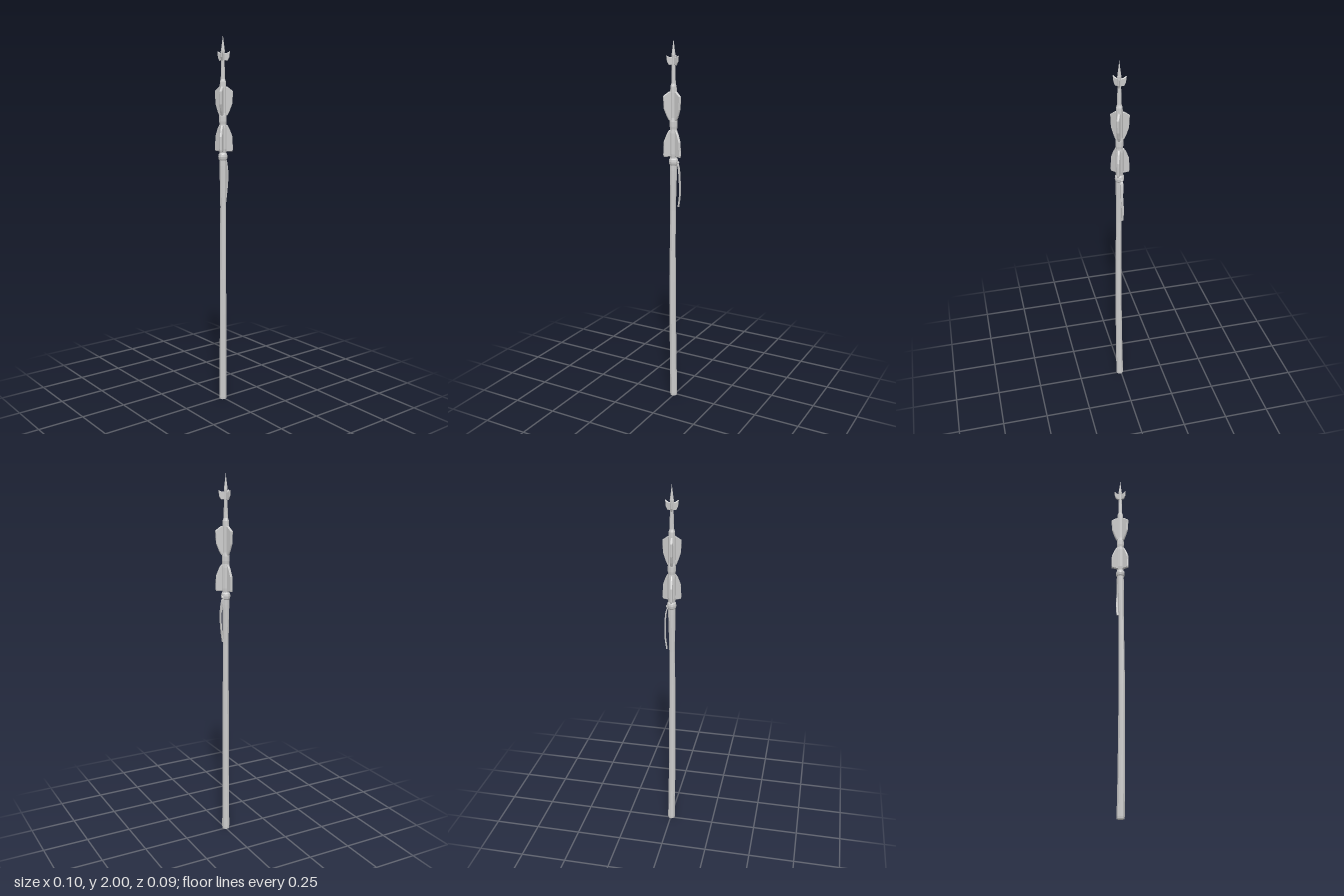
import * as THREE from 'three';

const material = new THREE.MeshStandardMaterial({ color: 0xcccccc, flatShading: true, side: THREE.DoubleSide });
const CX = -0.004, CZ = 0.007; // axis of the spear head

function mesh(name, geometry) {
  const m = new THREE.Mesh(geometry, material);
  m.name = name;
  return m;
}

// Turned part from [radius, y] pairs, listed bottom to top
function turned(name, profile, sides) {
  const m = mesh(name, new THREE.LatheGeometry(profile.map(([r, y]) => new THREE.Vector2(r, y)), sides));
  m.position.set(CX, 0, CZ);
  return m;
}

// Three bevelled blades around the axis from a radial [radius, y] outline
function finRing(name, outline, thickness) {
  const ring = new THREE.Group();
  ring.name = name;
  const bevel = thickness * 0.25;
  const shape = new THREE.Shape(outline.map(([r, y]) => new THREE.Vector2(r, y)));
  const geometry = new THREE.ExtrudeGeometry(shape, {
    depth: thickness - 2 * bevel, bevelThickness: bevel, bevelSize: bevel, bevelOffset: -bevel, bevelSegments: 1,
  });
  geometry.translate(0, 0, -thickness / 2 + bevel);
  for (let i = 0; i < 3; i++) {
    const fin = mesh('fin', geometry);
    fin.rotation.y = -THREE.MathUtils.degToRad(21 + 120 * i);
    ring.add(fin);
  }
  ring.position.set(CX, 0, CZ);
  return ring;
}

// Flat strap following a curve: width along z, thickness across
function strap(name, points, width, thickness) {
  const curve = new THREE.CatmullRomCurve3(points.map((p) => new THREE.Vector3(...p)));
  const g = new THREE.BoxGeometry(thickness, 1, width, 1, 14, 1);
  const pos = g.attributes.position;
  for (let i = 0; i < pos.count; i++) {
    const t = 0.5 - pos.getY(i);
    const c = curve.getPoint(t), d = curve.getTangent(t);
    const side = new THREE.Vector3(-d.y, d.x, 0).normalize().multiplyScalar(pos.getX(i));
    const taper = 1 - 0.35 * t;
    pos.setXYZ(i, c.x + side.x, c.y + side.y, c.z + pos.getZ(i) * taper);
  }
  g.computeVertexNormals();
  return mesh(name, g);
}

export function createModel() {
  const model = new THREE.Group();
  model.name = 'spear';

  // Wooden shaft, slightly bowed along its length
  const shaft = turned('shaft', [
    [0, 0], [0.020, 0], [0.021, 0.012], [0.0195, 0.2], [0.0185, 0.5], [0.018, 0.7], [0.0165, 0.9],
    [0.0155, 1.1], [0.0175, 1.22], [0.0195, 1.32], [0.0195, 1.37],
  ], 10);
  const pos = shaft.geometry.attributes.position;
  for (let i = 0; i < pos.count; i++) {
    const bow = Math.sin(Math.PI * Math.min(pos.getY(i) / 1.37, 1));
    pos.setX(i, pos.getX(i) - 0.003 * bow);
    pos.setZ(i, pos.getZ(i) + 0.006 * bow);
  }
  shaft.geometry.computeVertexNormals();
  model.add(shaft);

  // Rounded collar binding the shaft to the head
  model.add(turned('collar', [
    [0.017, 1.345], [0.023, 1.355], [0.025, 1.368], [0.023, 1.38], [0.017, 1.39],
  ], 12));

  // Core of the head with its stepped neck
  model.add(turned('headCore', [
    [0, 1.375], [0.018, 1.385], [0.021, 1.41], [0.021, 1.52], [0.019, 1.54], [0.021, 1.555], [0.021, 1.58],
    [0.018, 1.6], [0.018, 1.73], [0.0165, 1.762], [0.012, 1.775], [0.0095, 1.86], [0.009, 1.92], [0, 1.925],
  ], 10));

  // Pointed tip
  model.add(turned('tip', [[0, 1.9], [0.0095, 1.905], [0.0105, 1.92], [0.005, 1.96], [0, 2]], 8));

  // Fins: lower pair flares downward, upper pair flares upward
  model.add(finRing('lowerFins', [
    [0.008, 1.395], [0.052, 1.395], [0.055, 1.405], [0.052, 1.475], [0.036, 1.515], [0.024, 1.535], [0.008, 1.535],
  ], 0.014));
  model.add(finRing('upperFins', [
    [0.008, 1.585], [0.024, 1.585], [0.036, 1.607], [0.051, 1.645], [0.055, 1.712], [0.024, 1.735], [0.008, 1.735],
  ], 0.014));
  model.add(finRing('tipFins', [
    [0.004, 1.87], [0.024, 1.868], [0.034, 1.885], [0.038, 1.917], [0.02, 1.908], [0.004, 1.908],
  ], 0.009));

  // Hanging strap with its knot
  model.add(strap('hangingStrap', [
    [0.012, 1.362, 0.001], [0.022, 1.34, 0], [0.03, 1.27, 0.002], [0.029, 1.19, -0.003], [0.02, 1.12, -0.003],
  ], 0.015, 0.006));
  const knot = mesh('knot', new THREE.IcosahedronGeometry(0.008, 1));
  knot.position.set(0.018, 1.362, 0);
  model.add(knot);

  return model;
}
